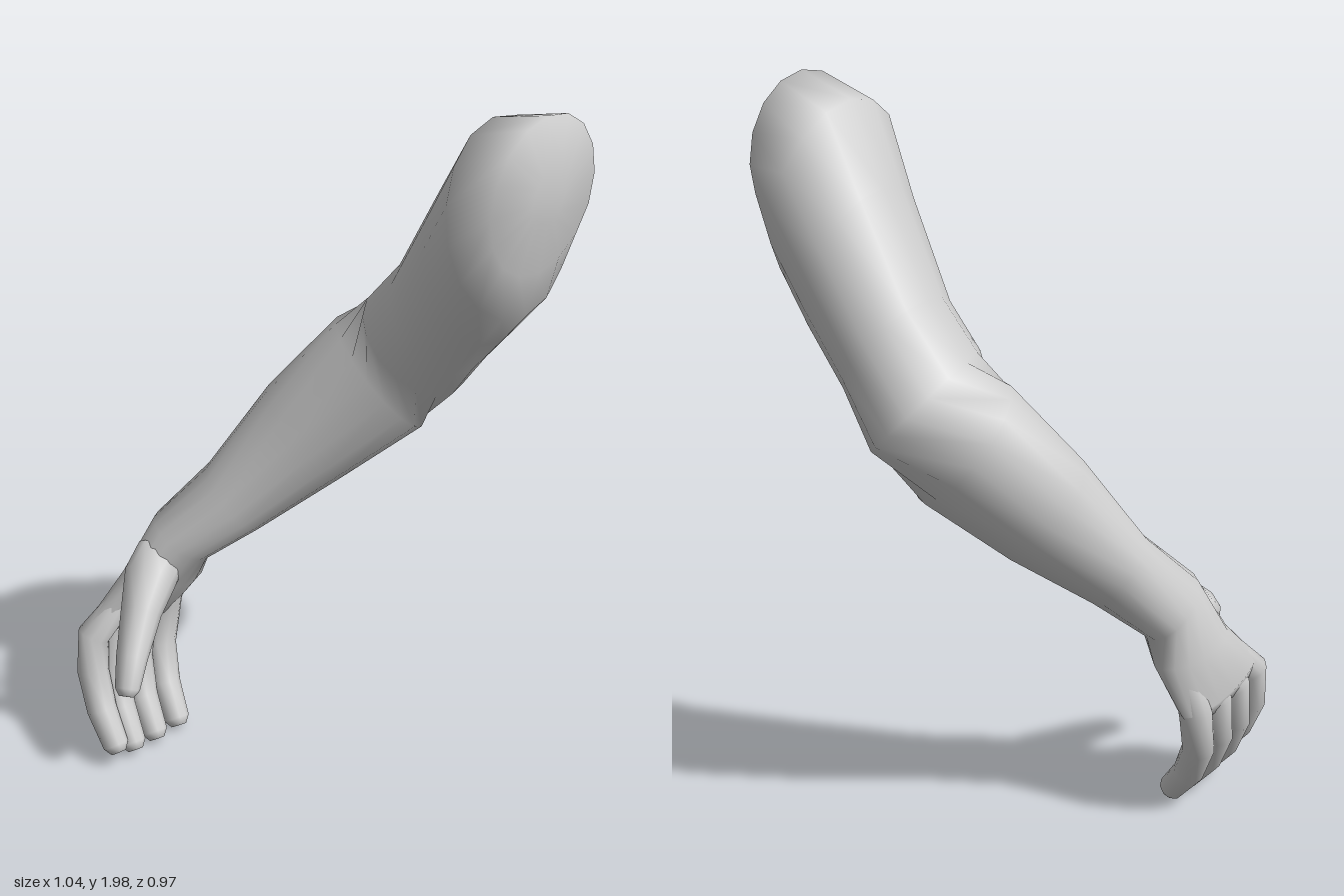
import * as THREE from 'three';

const V = (a) => new THREE.Vector3(...a);

// Skin a closed smooth surface over rings { c, u, v }: centre and two half-axes
function loft(rings, sides) {
  const pos = [], index = [];
  for (const { c, u, v } of rings) {
    for (let j = 0; j < sides; j++) {
      const t = (j / sides) * Math.PI * 2;
      const p = c.clone().addScaledVector(u, Math.cos(t)).addScaledVector(v, Math.sin(t));
      pos.push(p.x, p.y, p.z);
    }
  }
  const n = rings.length;
  const first = pos.length / 3, last = first + 1;
  pos.push(...rings[0].c.toArray(), ...rings[n - 1].c.toArray());
  for (let j = 0; j < sides; j++) {
    const k = (j + 1) % sides;
    for (let i = 0; i < n - 1; i++) {
      const a = i * sides + j, b = i * sides + k;
      index.push(a, b, a + sides, b, b + sides, a + sides);
    }
    index.push(first, k, j, last, (n - 1) * sides + j, (n - 1) * sides + k);
  }
  const g = new THREE.BufferGeometry();
  g.setAttribute('position', new THREE.Float32BufferAttribute(pos, 3));
  g.setIndex(index);
  g.computeVertexNormals();
  return g;
}

// Round digit along a path, with a radius at each point and a blunt rounded tip
function digit(points, radii, sides = 10) {
  const pts = points.map(V), r = [...radii];
  const end = pts.length - 1;
  const dir = pts[end].clone().sub(pts[end - 1]).normalize();
  pts.push(pts[end].clone().addScaledVector(dir, r[end] * 0.6));
  r.push(r[end] * 0.6);
  const rings = pts.map((c, i) => {
    const d = pts[Math.min(i + 1, end + 1)].clone().sub(pts[Math.max(i - 1, 0)]).normalize();
    const u = new THREE.Vector3(0, 0, 1).addScaledVector(d, -d.z).normalize();
    const v = d.clone().cross(u);
    return { c, u: u.multiplyScalar(r[i]), v: v.multiplyScalar(r[i]) };
  });
  return loft(rings, sides);
}

export function createModel() {
  const group = new THREE.Group();
  const skin = new THREE.MeshStandardMaterial({ color: 0xcccccc });
  skin.name = 'grey skin';
  const add = (name, geometry) => {
    const m = new THREE.Mesh(geometry, skin);
    m.name = name;
    group.add(m);
  };

  // Arm and palm: centre, side half-axis, upper half-axis
  const sections = [
    [[0.52, 1.80, -0.25], [0, 0, 0.06], [0, 0.06, 0]],             // shoulder cap
    [[0.50, 1.80, -0.255], [0, 0, 0.195], [0, 0.2, 0]],
    [[0.40, 1.71, -0.258], [0, 0, 0.226], [-0.065, 0.24, 0]],
    [[0.29, 1.555, -0.29], [0, 0, 0.197], [-0.08, 0.2, 0]],
    [[0.17, 1.365, -0.30], [0, 0, 0.175], [-0.1, 0.135, 0]],
    [[0.075, 1.24, -0.305], [0.03, 0.03, 0.18], [-0.115, 0.12, 0.02]], // elbow
    [[-0.01, 1.135, -0.26], [0.124, 0, 0.116], [-0.082, 0.143, 0.085]],
    [[-0.155, 0.95, -0.125], [0.107, 0, 0.1], [-0.072, 0.123, 0.072]],
    [[-0.28, 0.76, 0.025], [0.078, 0, 0.084], [-0.056, 0.084, 0.047]],
    [[-0.375, 0.64, 0.135], [0.052, 0.04, 0.098], [-0.075, 0.052, 0.019]], // wrist
    [[-0.415, 0.52, 0.175], [0, 0.02, 0.13], [-0.083, 0.01, 0]],
    [[-0.472, 0.40, 0.23], [0, 0.03, 0.168], [-0.053, 0, 0]],      // knuckles
    [[-0.475, 0.355, 0.245], [0, 0.025, 0.15], [-0.028, 0, 0]],
  ];
  add('arm', loft(sections.map(([c, u, v]) => ({ c: V(c), u: V(u), v: V(v) })), 16));

  // Curled fingers: root z, knuckle z, tip z, lift
  const fingers = {
    indexFinger: [0.285, 0.385, 0.43, 0.035],
    middleFinger: [0.225, 0.30, 0.367, 0.008],
    ringFinger: [0.165, 0.21, 0.285, 0],
    littleFinger: [0.11, 0.115, 0.2, 0],
  };
  for (const [name, [z0, z1, z2, lift]] of Object.entries(fingers)) {
    const z = (t) => z1 + (z2 - z1) * t;
    add(name, digit([
      [-0.435, 0.5, z0],
      [-0.477, 0.365 + lift * 0.5, z1],
      [-0.468, 0.24 + lift, z(0.4)],
      [-0.42, 0.135 + lift, z(0.75)],
      [-0.355, 0.052 + lift, z2],
    ], [0.035, 0.046, 0.044, 0.042, 0.036]));
  }

  // Thumb
  add('thumb', digit([
    [-0.385, 0.61, 0.2],
    [-0.37, 0.565, 0.26],
    [-0.335, 0.5, 0.33],
    [-0.29, 0.41, 0.41],
    [-0.262, 0.345, 0.455],
  ], [0.07, 0.073, 0.056, 0.043, 0.034]));

  return group;
}
